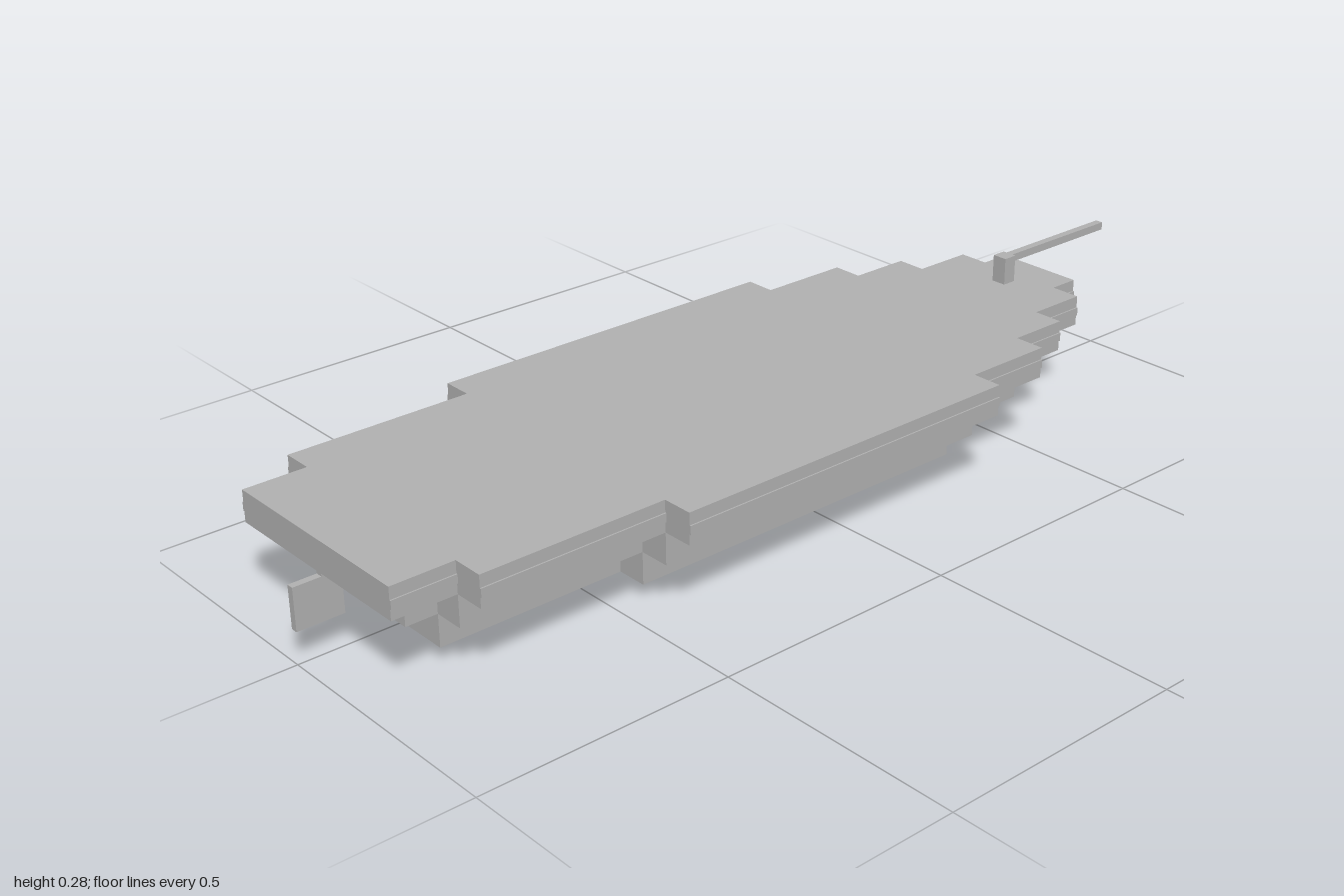
import * as THREE from 'three';

export function createModel() {
  const group = new THREE.Group();
  group.name = 'steppedBoat';
  const hullGrey = new THREE.MeshStandardMaterial({ color: 0xb0b0b0 });
  hullGrey.name = 'hullGrey';

  const add = (name, geometry) => {
    const mesh = new THREE.Mesh(geometry, hullGrey);
    mesh.name = name;
    group.add(mesh);
  };

  // Block given by its lower and upper corners
  const block = (name, [x0, y0, z0], [x1, y1, z1]) => {
    const g = new THREE.BoxGeometry(x1 - x0, y1 - y0, z1 - z0);
    g.translate((x0 + x1) / 2, (y0 + y1) / 2, (z0 + z1) / 2);
    add(name, g);
  };

  // Slab with a mirrored, stepped outline: steps are [front z, half width], running to backZ
  const slab = (name, y0, y1, steps, backZ, grow = 0) => {
    const side = [];
    steps.forEach(([z, w], i) => {
      const zEnd = i + 1 < steps.length ? steps[i + 1][0] : backZ;
      side.push([w + grow, z], [w + grow, zEnd]);
    });
    const mirrored = side.map(([x, z]) => [-x, z]).reverse();
    const points = [...side, ...mirrored].map(([x, z]) => new THREE.Vector2(x, -z));
    const g = new THREE.ExtrudeGeometry(new THREE.Shape(points), { depth: y1 - y0, bevelEnabled: false });
    g.rotateX(-Math.PI / 2);
    g.translate(0, y0, 0);
    add(name, g);
  };

  // Hull layers, each one step smaller than the one above
  const deck = [[0.951, 0.22], [0.825, 0.283], [0.447, 0.345], [-0.308, 0.283],
    [-0.497, 0.22], [-0.623, 0.158], [-0.748, 0.095]];
  slab('deck', 0.16, 0.222, deck, -0.811);
  slab('rubRail', 0.181, 0.198, deck, -0.811, 0.003);
  slab('middleHull', 0.097, 0.16, [[0.888, 0.158], [0.825, 0.22], [0.447, 0.283],
    [-0.308, 0.22], [-0.497, 0.158], [-0.623, 0.095]], -0.685);
  slab('lowerHull', 0.033, 0.097, [[0.825, 0.158], [0.447, 0.22], [-0.308, 0.158]], -0.497);
  block('keel', [-0.031, 0, -0.434], [0.031, 0.033, 0.699]);

  // Fin and its short stem under the deck edge
  block('fin', [-0.007, 0.065, 0.907], [0.007, 0.148, 1]);
  block('finStem', [-0.007, 0.148, 0.907], [0.007, 0.16, 0.945]);

  // Post and the spar that reaches past the end of the deck
  block('sparPost', [-0.016, 0.222, -0.715], [0.016, 0.278, -0.685]);
  block('spar', [-0.008, 0.262, -1], [0.008, 0.278, -0.715]);

  return group;
}
